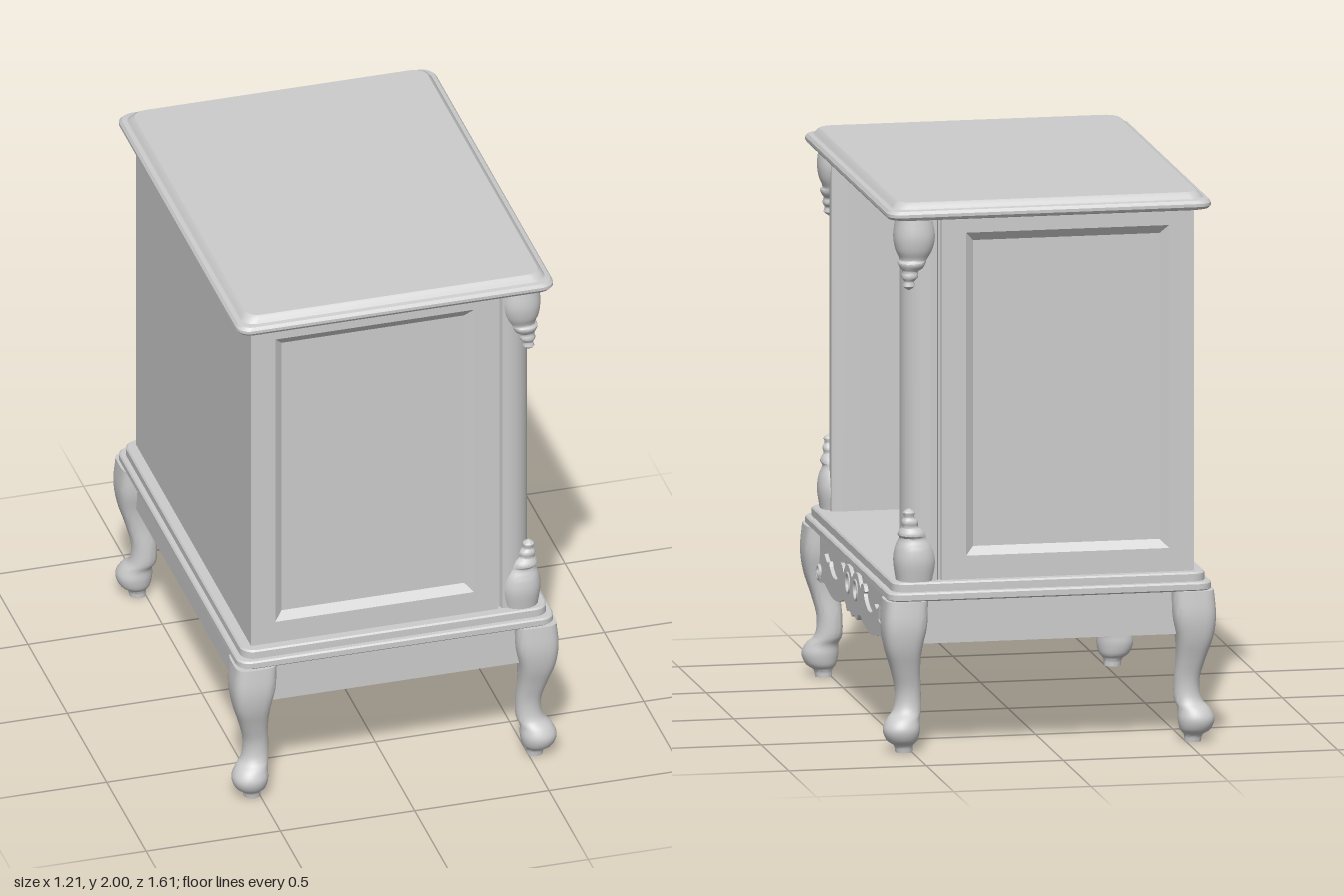
import * as THREE from 'three';
import { toCreasedNormals } from 'three/addons/utils/BufferGeometryUtils.js';

const material = new THREE.MeshStandardMaterial({ color: 0xcccccc });

// Skin over closed rings of points, optionally capped at both ends
function loft(rings, caps = true, crease = 0.6) {
  const n = rings[0].length, pos = [], idx = [];
  rings.forEach(r => r.forEach(p => pos.push(...p)));
  for (let i = 0; i < rings.length - 1; i++) {
    for (let j = 0; j < n; j++) {
      const a = i * n + j, b = i * n + (j + 1) % n;
      idx.push(a, b, b + n, a, b + n, a + n);
    }
  }
  if (caps) {
    [0, rings.length - 1].forEach((i, top) => {
      const c = pos.length / 3;
      pos.push(...[0, 1, 2].map(k => rings[i].reduce((s, p) => s + p[k], 0) / n));
      for (let j = 0; j < n; j++) {
        const a = i * n + j, b = i * n + (j + 1) % n;
        top ? idx.push(c, a, b) : idx.push(c, b, a);
      }
    });
  }
  const g = new THREE.BufferGeometry();
  g.setAttribute('position', new THREE.Float32BufferAttribute(pos, 3));
  g.setIndex(idx);
  return toCreasedNormals(g, crease);
}

// Horizontal superellipse ring: power 2 is a circle, higher is squarer
function oval(cx, y, cz, h, power = 2, n = 24) {
  const f = v => Math.sign(v) * Math.abs(v) ** (2 / power) * h;
  return Array.from({ length: n }, (_, i) => {
    const t = (i / n) * Math.PI * 2;
    return [cx + f(Math.cos(t)), y, cz - f(Math.sin(t))];
  });
}

// Horizontal rectangle ring with rounded corners
function roundedRing(hx, hz, y, r = 0.05, steps = 6) {
  const ring = [];
  [[1, -1], [-1, -1], [-1, 1], [1, 1]].forEach(([sx, sz], q) => {
    for (let i = 0; i <= steps; i++) {
      const t = (q + i / steps) * Math.PI / 2;
      ring.push([sx * (hx - r) + r * Math.cos(t), y, sz * (hz - r) - r * Math.sin(t)]);
    }
  });
  return ring;
}

// Evenly interpolates a few [y, centre, halfWidth] stations
function smooth(stations, count) {
  return new THREE.CatmullRomCurve3(stations.map(s => new THREE.Vector3(...s)), false, 'centripetal')
    .getPoints(count).map(v => v.toArray());
}

const spline = (pts, n) => new THREE.SplineCurve(pts.map(p => new THREE.Vector2(...p))).getPoints(n);
const mirrorX = pts => pts.map(p => new THREE.Vector2(-p.x, p.y)).reverse();
const extrude = (shape, depth) => new THREE.ExtrudeGeometry(shape, { depth, bevelEnabled: false, curveSegments: 20 });

export function createModel() {
  const model = new THREE.Group();
  function add(name, geometry, x = 0, y = 0, z = 0) {
    const mesh = new THREE.Mesh(geometry, material);
    mesh.name = name;
    mesh.position.set(x, y, z);
    model.add(mesh);
    return mesh;
  }
  // Box given by its min and max corners
  const box = (name, x0, x1, y0, y1, z0, z1) => add(name,
    new THREE.BoxGeometry(x1 - x0, y1 - y0, z1 - z0), (x0 + x1) / 2, (y0 + y1) / 2, (z0 + z1) / 2);

  // Moulded top and stepped base, from [halfWidth, y] profiles
  const slab = (name, profile) =>
    add(name, loft(profile.map(([h, y]) => roundedRing(h, h + 0.197, y)), true, 0.5));
  slab('top', [[0.57, 1.938], [0.583, 1.942], [0.59, 1.952], [0.59, 1.963], [0.582, 1.974],
    [0.566, 1.977], [0.56, 1.984], [0.555, 1.992], [0.545, 2]]);
  slab('base', [[0.585, 0.555], [0.59, 0.56], [0.59, 0.58], [0.585, 0.586], [0.57, 0.587],
    [0.57, 0.614], [0.565, 0.62]]);

  // Carcass: closed back and ceiling, open towards +x
  box('backPanel', -0.53, -0.5, 0.62, 1.94, -0.725, 0.725);
  box('ceiling', -0.5, 0.5, 1.905, 1.94, -0.61, 0.61);

  for (const s of [1, -1]) {
    // Side wall with a bevelled sunken panel
    const rect = (P, x0, x1, y0, y1) => new P([[x0, y0], [x1, y0], [x1, y1], [x0, y1]].map(p => new THREE.Vector2(...p)));
    const frame = rect(THREE.Shape, -0.53, 0.39, 0.62, 1.94);
    frame.holes.push(rect(THREE.Path, -0.44, 0.3, 0.705, 1.88));
    add('sideFrame', extrude(frame, 0.03), 0, 0, s > 0 ? 0.7 : -0.73);
    box('sidePanel', -0.5, 0.39, 0.62, 1.94, s > 0 ? 0.605 : -0.706, s > 0 ? 0.706 : -0.605);
    const edge = (x0, x1, y0, y1, z) => [[x0, y0, z], [x1, y0, z], [x1, y1, z], [x0, y1, z]];
    const bevel = [edge(-0.44, 0.3, 0.705, 1.88, s * 0.73), edge(-0.41, 0.27, 0.735, 1.848, s * 0.706)];
    add('panelBevel', loft(s > 0 ? bevel : bevel.reverse(), false, 0.1));

    // Rounded corner post with a groove beside the wall
    const post = new THREE.Shape();
    post.moveTo(0.385, 0.605);
    post.lineTo(0.385, 0.715);
    post.lineTo(0.4, 0.715);
    post.lineTo(0.405, 0.73);
    post.lineTo(0.425, 0.73);
    post.absarc(0.425, 0.635, 0.095, Math.PI / 2, 0, true);
    post.lineTo(0.52, 0.615);
    post.lineTo(0.505, 0.605);
    const postGeo = extrude(post, 1.32).rotateX(Math.PI / 2);
    if (s < 0) postGeo.rotateX(Math.PI);
    add('cornerPost', toCreasedNormals(postGeo, 0.6), 0, s > 0 ? 1.94 : 0.62, 0);

    // Carved capitals at both ends of the post
    const capital = smooth([[0, 0.48, 0.066], [0.07, 0.48, 0.075], [0.12, 0.482, 0.066], [0.155, 0.485, 0.05],
      [0.165, 0.492, 0.05], [0.185, 0.495, 0.04], [0.195, 0.5, 0.028], [0.215, 0.502, 0.03],
      [0.232, 0.505, 0.018], [0.248, 0.506, 0.021], [0.262, 0.506, 0.004]], 40);
    const rings = f => capital.map(([d, c, h]) => oval(c, f(d), s * (c + 0.21), h, 2.3));
    add('lowerCapital', loft(rings(d => 0.62 + d)));
    add('upperCapital', loft(rings(d => 1.94 - d).reverse()));

    // Plain side apron
    box('sideApron', -0.5, 0.5, 0.395, 0.556, s > 0 ? 0.725 : -0.75, s > 0 ? 0.75 : -0.725);

    // Cabriole legs, curving along the diagonal
    const leg = smooth([[0, 0.526, 0.03], [0.025, 0.528, 0.034], [0.045, 0.534, 0.055], [0.085, 0.537, 0.066],
      [0.12, 0.53, 0.058], [0.15, 0.512, 0.05], [0.22, 0.508, 0.046], [0.3, 0.52, 0.052],
      [0.38, 0.53, 0.066], [0.46, 0.527, 0.079], [0.556, 0.521, 0.077]], 36);
    for (const sx of [1, -1]) {
      add('leg', loft(leg.map(([y, c, h]) =>
        oval(sx * c, Math.max(y, 0), s * (c + 0.2), h, 2.1 + 2 * Math.max(0, y - 0.2) / 0.35, 32))));
    }
  }
  box('backApron', -0.55, -0.525, 0.395, 0.556, -0.7, 0.7);

  // Scalloped apron below the opening
  const scallop = [
    ...spline([[0, 0.355], [0.04, 0.368], [0.09, 0.36], [0.12, 0.385], [0.17, 0.385]], 16),
    ...spline([[0.18, 0.378], [0.25, 0.362], [0.34, 0.356], [0.42, 0.366], [0.5, 0.382], [0.58, 0.37], [0.63, 0.38], [0.645, 0.405]], 24),
  ];
  const bottom = [...mirrorX(scallop), ...scallop];
  const across = geo => geo.rotateY(Math.PI / 2);
  const board = new THREE.Shape([...bottom, new THREE.Vector2(0.7, 0.405),
    new THREE.Vector2(0.7, 0.556), new THREE.Vector2(-0.7, 0.556), new THREE.Vector2(-0.7, 0.405)]);
  add('carvedApron', across(extrude(board, 0.025)), 0.53, 0, 0);

  // Raised carving with leaf tips and two round eyes
  const crest = [
    ...spline([[0.635, 0.4], [0.6, 0.388], [0.55, 0.395], [0.52, 0.425], [0.475, 0.435]], 16),
    ...spline([[0.495, 0.49], [0.45, 0.468], [0.41, 0.478]], 8),
    ...spline([[0.4, 0.46], [0.35, 0.437], [0.29, 0.435], [0.24, 0.455], [0.215, 0.48]], 16),
    ...spline([[0.235, 0.49], [0.21, 0.512], [0.17, 0.505], [0.155, 0.485]], 10),
    ...spline([[0.14, 0.5], [0.1, 0.528], [0.05, 0.525], [0.005, 0.5]], 12),
  ];
  const carving = new THREE.Shape([...bottom, ...crest, ...mirrorX(crest)]);
  for (const s of [1, -1]) {
    carving.holes.push(new THREE.Path().absarc(s * 0.07, 0.465, 0.03, 0, Math.PI * 2, true));
    const eye = add('eyeRing', new THREE.TorusGeometry(0.035, 0.006, 8, 24), 0.568, 0.465, s * 0.07);
    eye.rotation.y = Math.PI / 2;
    // End scroll
    const curl = Array.from({ length: 20 }, (_, i) => {
      const t = i * 0.42, r = 0.034 - 0.0013 * i;
      return new THREE.Vector3(0, 0.405 - r * Math.sin(t), s * (0.615 + r * Math.cos(t)));
    });
    add('scroll', new THREE.TubeGeometry(new THREE.CatmullRomCurve3(curl), 50, 0.007, 8), 0.565, 0, 0);
  }
  add('apronCarving', across(extrude(carving, 0.015)), 0.554, 0, 0);

  return model;
}
